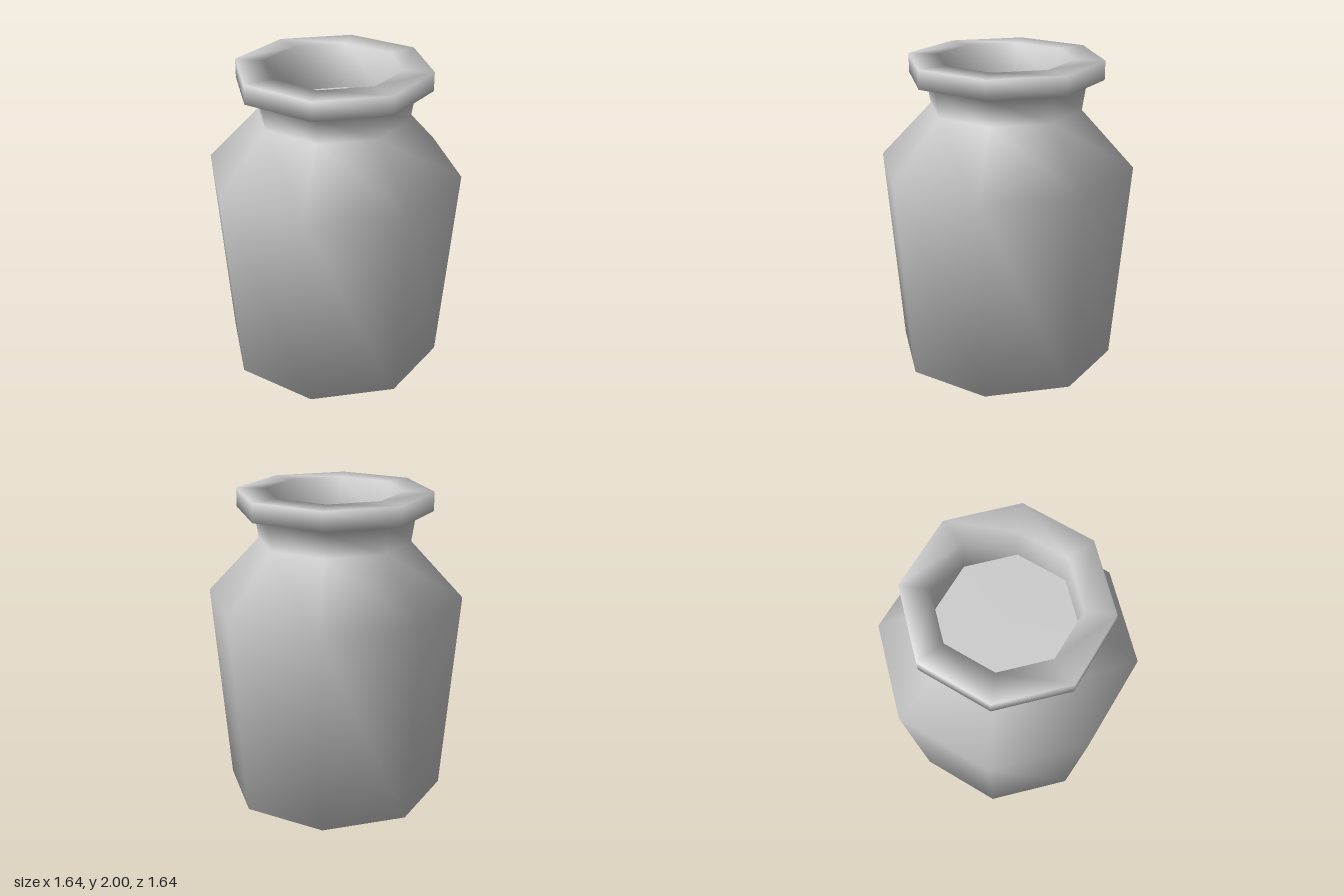
import * as THREE from 'three';

const SIDES = 8;

// Smooth-shaded eight-sided turned part from a [radius, height] profile
function turned(name, profile, material) {
  const points = profile.map(([r, y]) => new THREE.Vector2(r, y));
  const mesh = new THREE.Mesh(new THREE.LatheGeometry(points, SIDES), material);
  mesh.name = name;
  return mesh;
}

export function createModel() {
  const group = new THREE.Group();
  group.name = 'jar';
  const material = new THREE.MeshStandardMaterial({ color: 0xcccccc });

  // Base, tapered body, shoulder, neck, rolled rim and inner neck wall
  group.add(turned('jarBody', [
    [0, 0],
    [0.715, 0],
    [0.82, 1.325],
    [0.485, 1.685],
    [0.51, 1.85],
    [0.62, 1.88],
    [0.62, 2],
    [0.435, 2],
    [0.435, 1.7],
  ], material));

  // Flat floor inside the neck
  const floor = new THREE.Mesh(new THREE.CircleGeometry(0.435, SIDES), material);
  floor.name = 'innerFloor';
  floor.rotation.x = -Math.PI / 2;
  floor.position.y = 1.7;
  group.add(floor);

  return group;
}
